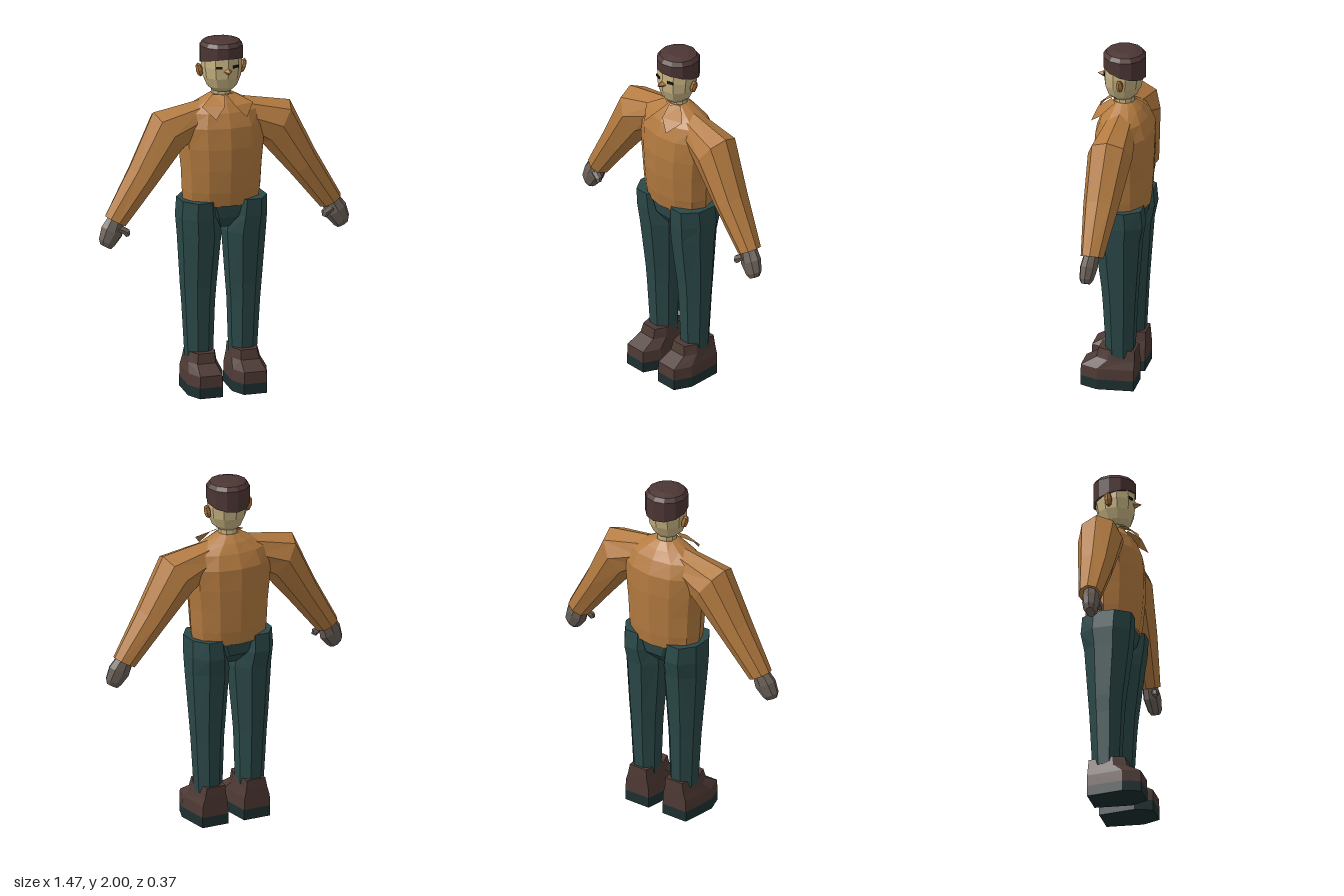
import * as THREE from 'three';

const mat = (name, color) => {
  const m = new THREE.MeshStandardMaterial({ color, flatShading: true });
  m.name = name;
  return m;
};

// Ring centred at (x, y, z); t leans its axis from up (0) towards +x; slope raises y along z
function ring(x, y, z, r, rz, { t = 0, n = 8, phase = 0, slope = 0 } = {}) {
  return Array.from({ length: n }, (_, i) => {
    const a = ((i + phase) / n) * Math.PI * 2;
    const u = Math.sin(a) * r, w = Math.cos(a) * rz;
    return [x + Math.cos(t) * u, y - Math.sin(t) * u + slope * w, z + w];
  });
}

// Horizontal ring from its extents
const level = (y, x0, x1, z0, z1, opt) =>
  ring((x0 + x1) / 2, y, (z0 + z1) / 2, (x1 - x0) / 2, (z1 - z0) / 2, opt);

// Closed skin through rings of equal point count
function loft(rings) {
  const n = rings[0].length, last = (rings.length - 1) * n;
  const pts = rings.flat(), idx = [];
  for (let i = 0; i < rings.length - 1; i++) {
    for (let j = 0; j < n; j++) {
      const a = i * n + j, b = i * n + (j + 1) % n;
      idx.push(a, b, b + n, a, b + n, a + n);
    }
  }
  for (let j = 1; j < n - 1; j++) idx.push(0, j + 1, j, last, last + j, last + j + 1);
  const g = new THREE.BufferGeometry();
  g.setAttribute('position', new THREE.Float32BufferAttribute(pts.flat(), 3));
  g.setIndex(idx);
  g.computeVertexNormals();
  return g;
}

// Mirrored copy across x with the corner order restored
function mirrored(geo) {
  const g = geo.clone().scale(-1, 1, 1);
  const ix = g.index.array;
  for (let i = 0; i < ix.length; i += 3) [ix[i], ix[i + 1]] = [ix[i + 1], ix[i]];
  g.computeVertexNormals();
  return g;
}

export function createModel() {
  const model = new THREE.Group();
  model.name = 'standingMan';
  const shirt = mat('shirtOchre', 0xb47b40);
  const trousers = mat('trouserTeal', 0x2b4848);
  const leather = mat('shoeBrown', 0x4e3a35);
  const rubber = mat('soleDark', 0x1d2f30);
  const skin = mat('skin', 0xc8b482);
  const ruddy = mat('ruddySkin', 0xb2763a);
  const hairMat = mat('hairBrown', 0x4c3634);
  const glove = mat('gloveGrey', 0x6a6058);
  const black = mat('eyeBlack', 0x1a1613);
  const collarMat = shirt.clone();
  collarMat.side = THREE.DoubleSide;

  const add = (name, geo, m) => {
    const mesh = new THREE.Mesh(geo, m);
    mesh.name = name;
    model.add(mesh);
    return mesh;
  };
  const pair = (name, geo, m) => {
    add('left' + name, geo, m);
    add('right' + name, mirrored(geo), m);
  };

  // Torso: y, half width, front z, back z
  add('torso', loft([
    [1.07, 0.22, 0.12, -0.165], [1.15, 0.23, 0.135, -0.175], [1.28, 0.237, 0.147, -0.182],
    [1.4, 0.25, 0.15, -0.187], [1.52, 0.258, 0.14, -0.185], [1.6, 0.23, 0.11, -0.15],
    [1.65, 0.14, 0.075, -0.115], [1.69, 0.065, 0.04, -0.075],
  ].map(([y, w, f, b]) => level(y, -w, w, b, f, { n: 12 }))), shirt);

  // Sleeves: x, y, z, half width, half depth, lean
  pair('Sleeve', loft([
    [0.13, 1.56, -0.02, 0.098, 0.09, 1.57], [0.318, 1.495, -0.015, 0.142, 0.127, 2.19],
    [0.47, 1.255, 0, 0.095, 0.1, 2.45], [0.63, 1.018, 0.01, 0.068, 0.065, 2.64],
  ].map(([x, y, z, r, d, t]) => ring(x, y, z, r, d, { t }))), shirt);

  // Gloved hands with thumbs
  pair('Hand', loft([
    [0.625, 1.03, 0.015, 0.05, 0.042, 2.64], [0.655, 0.965, 0.022, 0.068, 0.05, 2.64],
    [0.687, 0.905, 0.028, 0.052, 0.04, 2.64], [0.695, 0.882, 0.03, 0.036, 0.025, 2.64],
  ].map(([x, y, z, r, d, t]) => ring(x, y, z, r, d, { t }))), glove);
  pair('Thumb', loft([
    [0.625, 0.985, 0.045, 0.028, 0.022], [0.585, 0.965, 0.055, 0.024, 0.02],
    [0.575, 0.942, 0.06, 0.014, 0.013],
  ].map(([x, y, z, r, d]) => ring(x, y, z, r, d, { t: 3.6, n: 6 }))), glove);

  // Collar flaps
  const flap = new THREE.BufferGeometry();
  flap.setAttribute('position', new THREE.Float32BufferAttribute([
    0.005, 1.69, 0.055, 0.03, 1.645, 0.125, 0.09, 1.58, 0.152,
    0.15, 1.645, 0.085, 0.065, 1.692, 0.02,
  ], 3));
  flap.setIndex([0, 1, 4, 1, 3, 4, 1, 2, 3]);
  flap.computeVertexNormals();
  pair('Collar', flap, collarMat);

  // Pelvis
  add('pelvis', loft([
    [0.935, 0.06, 0.05, -0.08], [1.0, 0.14, 0.105, -0.15], [1.09, 0.21, 0.117, -0.16],
  ].map(([y, w, f, b]) => level(y, -w, w, b, f, { phase: 0.5 }))), trousers);

  // Trouser legs: y, inner x, outer x, back z, front z
  pair('Leg', loft([
    [0.19, 0.05, 0.207, -0.11, 0.055], [0.5, 0.04, 0.225, -0.125, 0.072],
    [0.6, 0.032, 0.233, -0.132, 0.08], [0.9, 0.008, 0.252, -0.155, 0.12],
    [1.0, 0.022, 0.258, -0.175, 0.133], [1.1, 0.035, 0.253, -0.165, 0.138],
  ].map(([y, ...e]) => level(y, ...e, { phase: 0.5 }).map(
    ([x, yy, z]) => [THREE.MathUtils.clamp(x * 1.0, e[0], e[1]), yy, z]))), trousers);

  // Shoes: tapered footprint scaled into each level
  const outline = [[0.65, 1], [1, 0.35], [0.78, -1], [-0.78, -1], [-1, 0.35], [-0.65, 1]];
  const foot = ([y, x0, x1, z0, z1]) => outline.map(([u, w]) =>
    [(x0 + x1) / 2 + u * (x1 - x0) / 2, y, (z0 + z1) / 2 + w * (z1 - z0) / 2]);
  pair('Sole', loft([
    [0, 0.026, 0.232, -0.12, 0.185], [0.06, 0.026, 0.232, -0.12, 0.185],
  ].map(foot)), rubber);
  pair('Shoe', loft([
    [0.06, 0.026, 0.232, -0.12, 0.185], [0.125, 0.03, 0.229, -0.12, 0.183],
    [0.175, 0.045, 0.21, -0.12, 0.1], [0.23, 0.052, 0.197, -0.118, 0.088],
  ].map(foot)), leather);

  // Neck and head
  add('neck', loft([1.66, 1.73].map(y => level(y, -0.056, 0.056, -0.073, 0.035, { n: 10 }))), skin);
  add('head', loft([
    [1.71, 0.055, 0.052, -0.068], [1.735, 0.083, 0.077, -0.09], [1.79, 0.106, 0.096, -0.115],
    [1.85, 0.114, 0.1, -0.125], [1.94, 0.112, 0.095, -0.125],
  ].map(([y, w, f, b]) => level(y, -w, w, b, f, { n: 10 }))), skin);

  // Hair with a hairline dropping to the back
  add('hair', loft([
    [1.874, 0.121, 0.26], [1.965, 0.121, 0], [1.988, 0.104, 0], [2, 0.062, 0],
  ].map(([y, r, slope]) => ring(0, y, -0.018, r, r, { n: 12, slope }))), hairMat);

  // Ears, nose and eyes
  const ear = new THREE.SphereGeometry(1, 6, 4).scale(0.02, 0.042, 0.022)
    .rotateZ(-0.25).translate(0.128, 1.83, -0.02);
  pair('Ear', ear, ruddy);
  const nose = new THREE.ConeGeometry(0.026, 0.05, 4).rotateX(Math.PI / 2);
  add('nose', nose, ruddy).position.set(0, 1.835, 0.112);
  pair('Eye', new THREE.BoxGeometry(0.038, 0.014, 0.009).rotateY(0.33)
    .translate(0.05, 1.858, 0.085), black);

  return model;
}
